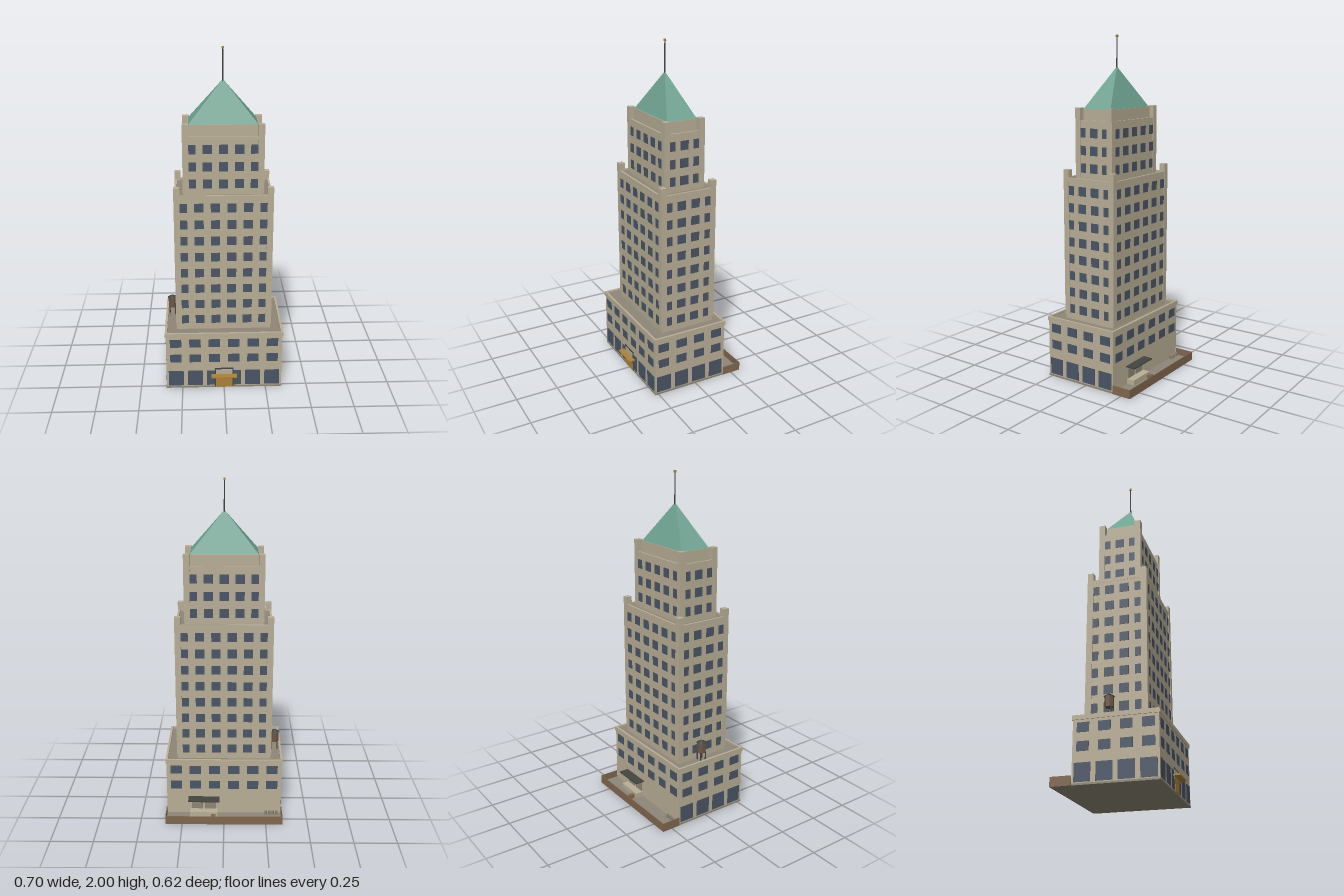
import * as THREE from 'three';
import { mergeGeometries } from 'three/addons/utils/BufferGeometryUtils.js';

const mat = (name, color) => {
  const m = new THREE.MeshStandardMaterial({ color });
  m.name = name;
  return m;
};

// Box geometry from its min and max on each axis
function span(x0, x1, y0, y1, z0, z1) {
  return new THREE.BoxGeometry(x1 - x0, y1 - y0, z1 - z0)
    .translate((x0 + x1) / 2, (y0 + y1) / 2, (z0 + z1) / 2);
}

// Four walls forming a rectangular ring around (0, cz)
function ring(hx, hz, cz, y0, y1, t) {
  return [
    span(-hx, hx, y0, y1, cz + hz - t, cz + hz),
    span(-hx, hx, y0, y1, cz - hz, cz - hz + t),
    span(-hx, -hx + t, y0, y1, cz - hz + t, cz + hz - t),
    span(hx - t, hx, y0, y1, cz - hz + t, cz + hz - t),
  ];
}

export function createModel() {
  const group = new THREE.Group();
  const stone = mat('limestone', 0xb8ae96);
  const roof = mat('roofGrey', 0x8e8676);
  const glass = mat('windowGlass', 0x4a5566);
  const copper = mat('copperGreen', 0x70a392);
  const brass = mat('brass', 0xab8238);
  const brick = mat('brownBrick', 0x80674f);
  const wood = mat('tankWood', 0x6b5646);
  const dark = mat('charcoal', 0x444540);

  const add = (name, geo, material) => {
    const g = Array.isArray(geo) ? mergeGeometries(geo) : geo;
    const m = new THREE.Mesh(g, material);
    m.name = name;
    group.add(m);
    return m;
  };

  // Rows of thin window plates on the four walls of a block
  function windows(name, b, rows, nx, nz, px, pz, w, h, sides = ['front', 'back', 'left', 'right']) {
    const list = [];
    const t = 0.003;
    for (const y of rows) for (const side of sides) {
      const alongX = side === 'front' || side === 'back';
      const s = side === 'front' || side === 'left' ? 1 : -1;
      const n = alongX ? nx : nz;
      for (let i = 0; i < n; i++) {
        const o = (i - (n - 1) / 2) * (alongX ? px : pz);
        list.push(alongX
          ? new THREE.BoxGeometry(w, h, t).translate(o, y, b.cz + s * b.hz)
          : new THREE.BoxGeometry(t, h, w).translate(s * b.hx, y, b.cz + o));
      }
    }
    add(name, list, glass);
  }

  // Square piers at the four corners
  function piers(name, hx, hz, cz, y0, y1, s) {
    const list = [];
    for (const sx of [-1, 1]) for (const sz of [-1, 1])
      list.push(new THREE.BoxGeometry(s, y1 - y0, s)
        .translate(sx * (hx - s / 2), (y0 + y1) / 2, cz + sz * (hz - s / 2)));
    add(name, list, stone);
  }

  const rowsFrom = (y, n) => Array.from({ length: n }, (_, i) => y + i * 0.1006);
  const block = (name, b, y0, y1) =>
    add(name, span(-b.hx, b.hx, y0, y1, b.cz - b.hz, b.cz + b.hz), stone);

  // Podium
  const base = { hx: 0.345, hz: 0.2325, cz: 0.0375 };
  block('podium', base, 0.008, 0.352);
  add('podiumParapet', ring(0.35, 0.2375, 0.0375, 0.345, 0.37, 0.013), stone);
  add('podiumRoof', span(-0.337, 0.337, 0.35, 0.358, -0.187, 0.262), roof);
  windows('podiumWindows', base, [0.202, 0.303], 6, 4, 0.115, 0.1175, 0.068, 0.053);
  windows('shopWindows', base, [0.066], 6, 4, 0.115, 0.1175, 0.09, 0.1, ['front', 'left', 'right']);

  // Main shaft
  const mid = { hx: 0.279, hz: 0.171, cz: 0.02 };
  block('shaft', mid, 0.355, 1.185);
  add('shaftParapet', ring(0.28, 0.172, 0.02, 1.18, 1.2, 0.012), stone);
  add('shaftRoof', span(-0.268, 0.268, 1.18, 1.19, -0.14, 0.18), roof);
  piers('shaftPiers', 0.283, 0.175, 0.02, 0.385, 1.245, 0.035);
  windows('shaftWindows', mid, rowsFrom(0.423, 8), 6, 4, 0.0933, 0.0875, 0.053, 0.053);

  // Upper tower
  const top = { hx: 0.226, hz: 0.123, cz: 0.02 };
  block('upperTower', top, 1.185, 1.51);
  add('upperParapet', ring(0.226, 0.123, 0.02, 1.505, 1.526, 0.011), stone);
  add('upperRoof', span(-0.215, 0.215, 1.505, 1.516, -0.092, 0.132), dark);
  piers('upperPiers', 0.23, 0.127, 0.02, 1.2, 1.595, 0.035);
  windows('upperWindows', top, rowsFrom(1.254, 3), 5, 3, 0.09, 0.083, 0.052, 0.053);
  add('crownBlock', span(-0.198, 0.198, 1.51, 1.588, -0.078, 0.118), stone);

  // Copper pyramid, stretched from a four-sided cone
  const pyramid = new THREE.ConeGeometry(Math.SQRT1_2, 0.235, 4, 1).rotateY(Math.PI / 4)
    .toNonIndexed().scale(0.39, 1, 0.186).translate(0, 1.7055, 0.02);
  pyramid.computeVertexNormals();
  add('pyramidRoof', pyramid, copper);
  add('mast', new THREE.CylinderGeometry(0.003, 0.005, 0.19, 6).translate(0, 1.9, 0.02), dark);
  add('mastTip', span(-0.006, 0.006, 1.988, 2, 0.014, 0.026), brass);

  // Front entrance
  add('entranceFrame', span(-0.056, 0.056, 0.005, 0.133, 0.265, 0.274), dark);
  add('transom', span(-0.05, 0.05, 0.09, 0.125, 0.27, 0.276), stone);
  add('entranceDoor', span(-0.05, 0.05, 0.005, 0.086, 0.27, 0.276), brass);
  add('entranceCanopy', span(-0.076, 0.076, 0.084, 0.092, 0.268, 0.31), brass);

  // Ground slab and walled rear yard
  add('groundSlab', span(-0.348, 0.348, 0, 0.01, -0.308, 0.272), roof);
  add('yardWalls', [
    span(-0.35, 0.35, 0, 0.052, -0.312, -0.308),
    span(-0.35, -0.346, 0, 0.052, -0.308, -0.195),
    span(0.346, 0.35, 0, 0.052, -0.308, -0.195),
  ], brick);

  // Loading dock
  add('dockPlatform', span(0.04, 0.205, 0.008, 0.04, -0.243, -0.19), stone);
  add('dockDoors', [span(0.05, 0.115, 0.04, 0.1, -0.198, -0.192),
    span(0.13, 0.195, 0.04, 0.1, -0.198, -0.192)], roof);
  add('dockCanopy', span(0.028, 0.215, 0.115, 0.122, -0.253, -0.19), dark);
  add('crate', span(0.052, 0.077, 0.008, 0.033, -0.278, -0.25), brick);

  // Row of bins in the yard
  add('bins', [0, 1, 2, 3].map((i) =>
    new THREE.CylinderGeometry(0.008, 0.007, 0.026, 10).translate(-0.319 + i * 0.0217, 0.022, -0.211)), roof);

  // Rooftop water tank
  const tank = new THREE.Group();
  tank.name = 'waterTank';
  tank.position.set(-0.309, 0.358, -0.009);
  const tankPart = (name, geo, m) => {
    const mesh = new THREE.Mesh(geo, m);
    mesh.name = name;
    tank.add(mesh);
  };
  const legs = [];
  for (const x of [-1, 1]) for (const z of [-1, 1])
    legs.push(new THREE.BoxGeometry(0.005, 0.055, 0.005).translate(x * 0.017, 0.0275, z * 0.017));
  tankPart('tankLegs', mergeGeometries(legs), dark);
  const flat = (g) => {
    const f = g.toNonIndexed();
    f.computeVertexNormals();
    return f;
  };
  tankPart('tankBarrel', flat(new THREE.CylinderGeometry(0.026, 0.026, 0.062, 8).rotateY(Math.PI / 8).translate(0, 0.083, 0)), wood);
  tankPart('tankCap', flat(new THREE.ConeGeometry(0.031, 0.018, 8).rotateY(Math.PI / 8).translate(0, 0.121, 0)), dark);
  group.add(tank);

  return group;
}
